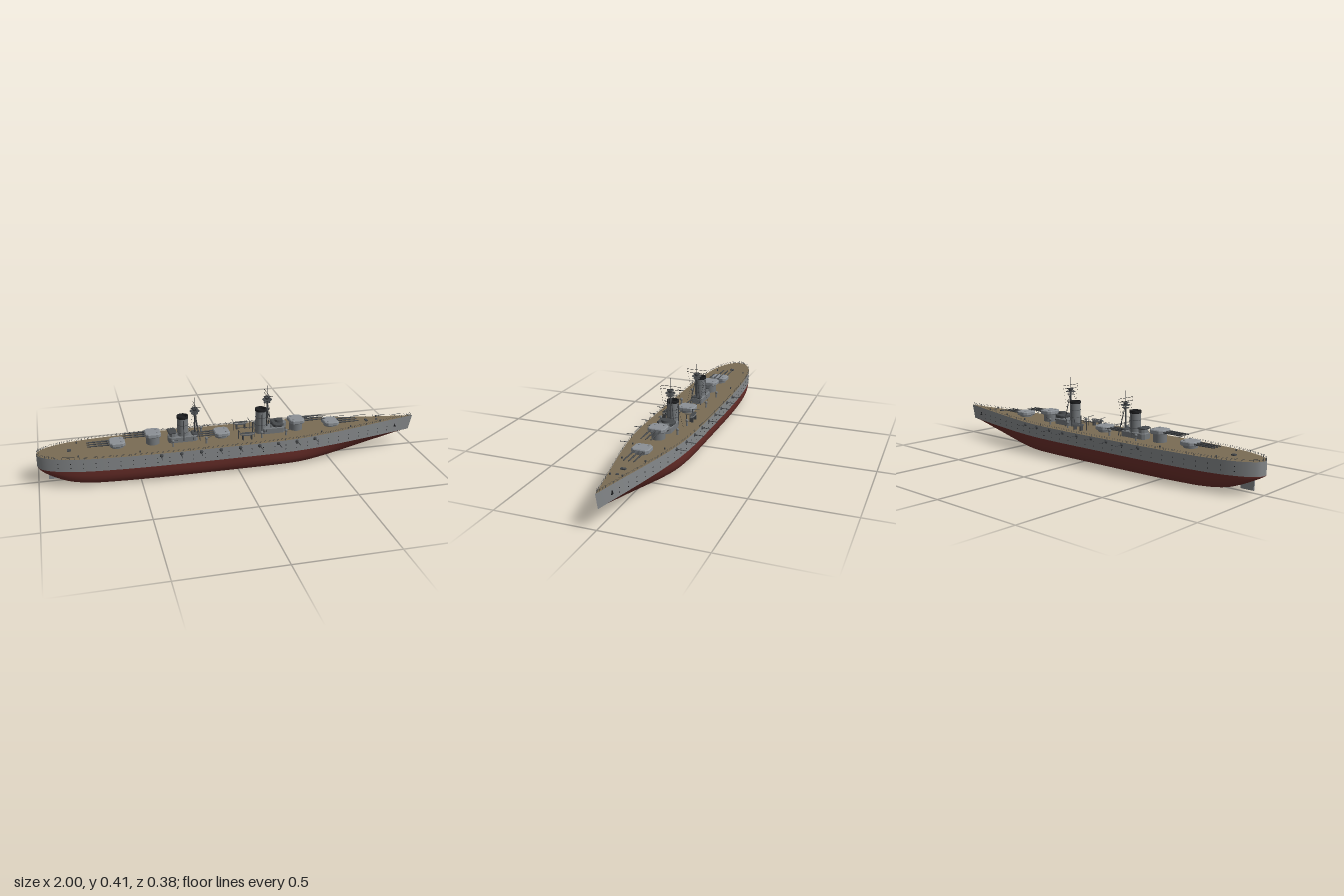
import * as THREE from 'three';
import { mergeGeometries, toCreasedNormals } from 'three/addons/utils/BufferGeometryUtils.js';

const V = (x, y, z) => new THREE.Vector3(x, y, z);
const paint = (name, color, side = THREE.FrontSide) => {
  const m = new THREE.MeshStandardMaterial({ color, side });
  m.name = name;
  return m;
};

// Hull lines: x, half beam, keel height
const lines = new THREE.CatmullRomCurve3([
  [-1, 0, .087], [-.99, .03, .08], [-.965, .055, .066], [-.92, .08, .045], [-.85, .103, .02],
  [-.75, .12, .005], [-.6, .132, .001], [-.4, .139, 0], [-.1, .14, 0], [.2, .137, 0], [.35, .127, .001],
  [.5, .104, .012], [.65, .074, .031], [.8, .041, .056], [.92, .016, .078], [1, 0, .09],
].map(p => V(...p)));
const WATER = .088;
const deckY = x => .154 + .012 * Math.max(0, (x + .1) / 1.1) ** 2;
const station = t => {
  const p = lines.getPoint(t);
  return { x: p.x, b: Math.max(0, p.y), k: Math.max(0, p.z) };
};
const beamAt = x => {
  let lo = 0, hi = 1;
  for (let i = 0; i < 30; i++) {
    const m = (lo + hi) / 2;
    if (lines.getPoint(m).x < x) lo = m; else hi = m;
  }
  return station(lo).b;
};

// Skin over cross-sections; section(t) gives a row of points
function loft(section, n) {
  const pos = [], idx = [];
  let w = 0;
  for (let i = 0; i <= n; i++) {
    const row = section(i / n);
    w = row.length;
    row.forEach(p => pos.push(p[0], p[1], p[2]));
  }
  for (let i = 0; i < n; i++) for (let j = 0; j < w - 1; j++) {
    const a = i * w + j, b = a + w;
    idx.push(a, b, a + 1, b, b + 1, a + 1);
  }
  const g = new THREE.BufferGeometry();
  g.setAttribute('position', new THREE.Float32BufferAttribute(pos, 3));
  g.setIndex(idx);
  g.computeVertexNormals();
  return g;
}

const box = (x, y, z, w, h, d) => new THREE.BoxGeometry(w, h, d).translate(x, y + h / 2, z);
const drum = (x, y, z, r, h, top = r, n = 20) => new THREE.CylinderGeometry(top, r, h, n).translate(x, y + h / 2, z);
function rod(a, b, r, r2 = r, n = 6) {
  const d = b.clone().sub(a), g = new THREE.CylinderGeometry(r2, r, d.length(), n);
  g.applyQuaternion(new THREE.Quaternion().setFromUnitVectors(V(0, 1, 0), d.clone().normalize()));
  return g.translate((a.x + b.x) / 2, (a.y + b.y) / 2, (a.z + b.z) / 2);
}
// Upright prism with cut corners and bevelled roof edge
function block(x, y, z, w, h, d, cut) {
  const a = w / 2, b = d / 2, s = new THREE.Shape();
  [[-a + cut, -b], [a - cut, -b], [a, -b + cut], [a, b - cut], [a - cut, b], [-a + cut, b], [-a, b - cut], [-a, -b + cut]]
    .forEach((p, i) => i ? s.lineTo(...p) : s.moveTo(...p));
  const e = .004;
  return new THREE.ExtrudeGeometry(s, { depth: h - 2 * e, bevelEnabled: true, bevelThickness: e, bevelSize: e, bevelOffset: -e, bevelSegments: 1 })
    .rotateX(-Math.PI / 2).translate(x, y + e, z);
}

export function createModel() {
  const ship = new THREE.Group();
  ship.name = 'battleship';
  const grey = paint('hullGrey', 0x85888a), red = paint('bottomRed', 0x6b2f2a), tan = paint('deckTan', 0x7a6c54);
  const light = paint('turretGrey', 0x8b9095), mid = paint('superstructureGrey', 0x74787b);
  const dark = paint('darkSteel', 0x46494c), black = paint('black', 0x1f2022);
  const add = (name, geos, mat, parent = ship) => {
    const list = [].concat(geos).map(g => g.index ? g.toNonIndexed() : g);
    const mesh = new THREE.Mesh(list.length > 1 ? mergeGeometries(list) : list[0], mat);
    mesh.name = name;
    parent.add(mesh);
    return mesh;
  };

  // Hull sides, bottom and deck
  const waterX = x => x - .02 * Math.max(0, (x - .8) / .2);
  const N = 90;
  [1, -1].forEach(s => add(s > 0 ? 'hullSideRight' : 'hullSideLeft', loft(t => {
    const { x, b } = station(t);
    const row = [[waterX(x), WATER, s * b], [x, deckY(x), s * b]];
    return s > 0 ? row : row.reverse();
  }, N), grey));
  const round = [[1, 1], [.985, .72], [.95, .48], [.89, .27], [.79, .12], [.57, .03], [0, 0]];
  add('hullBottom', loft(t => {
    const { x, b, k } = station(t);
    const v = THREE.MathUtils.smoothstep(x, .25, .95);
    const half = round.map(([f, g]) => [waterX(x), k + (WATER - k) * g, b * THREE.MathUtils.lerp(f, Math.min(1, .25 * f + .75 * g), v)]);
    return [...half.map(p => [p[0], p[1], -p[2]]), ...half.slice(0, -1).reverse()];
  }, N), red);
  add('deck', loft(t => {
    const { x, b } = station(t);
    return [[x, deckY(x), b], [x, deckY(x), -b]];
  }, N), tan);
  add('rudder', box(-.915, .012, 0, .068, .05, .008), grey);

  // Deck-edge railing
  const rails = [];
  for (const s of [1, -1]) {
    const edge = h => Array.from({ length: 61 }, (_, i) => {
      const { x, b } = station(.01 + .98 * i / 60);
      return V(x, deckY(x) + h, s * Math.max(0, b - .002));
    });
    for (const h of [.006, .011]) rails.push(new THREE.TubeGeometry(new THREE.CatmullRomCurve3(edge(h)), 120, .0004, 3));
    edge(0).forEach(p => rails.push(rod(p, p.clone().setY(p.y + .0115), .0006, .0006, 4)));
  }
  add('railings', rails, dark);

  // Portholes, casemate guns and anchors
  const ports = [], guns = [], mounts = [], anchors = [];
  for (const s of [1, -1]) {
    for (let x = -.9; x < .9; x += .06) for (const y of [.108, .13])
      ports.push(new THREE.CylinderGeometry(.0022, .0022, .004, 8).rotateX(Math.PI / 2).translate(x, y, s * beamAt(x)));
    for (let i = -4; i <= 4; i++) {
      const x = i * .1, b = beamAt(x);
      mounts.push(new THREE.SphereGeometry(.01, 10, 8).translate(x, .143, s * (b - .003)));
      guns.push(rod(V(x, .143, s * (b - .01)), V(x + .004 * Math.sign(i), .143, s * (b + .05)), .0024, .0016));
    }
    const ab = beamAt(.89);
    anchors.push(box(.89, .12, s * ab, .004, .016, .005), box(.89, .119, s * ab, .014, .004, .006));
  }
  add('portholes', ports, black);
  add('casemates', mounts, dark);
  add('casemateGuns', guns, dark);
  add('anchors', anchors, black);

  // Triple-gun turrets: x, base height, direction
  [[.525, .165, 1], [.333, .195, 1], [-.067, .165, -1], [-.423, .195, -1], [-.603, .165, -1]].forEach(([x, y, dir], i) => {
    const t = new THREE.Group();
    t.name = 'turret' + (i + 1);
    t.position.x = x;
    t.rotation.y = dir > 0 ? 0 : Math.PI;
    ship.add(t);
    add('barbette', drum(0, .15, 0, .034, y - .149, .034, 28), mid, t);
    add('gunhouse', [block(0, y, 0, .078, .022, .088, .014), drum(-.02, y + .021, .024, .006, .004), drum(-.02, y + .021, -.024, .006, .004)], light, t);
    add('barrels', [-.025, 0, .025].map(z => rod(V(.03, y + .012, z), V(.15, y + .012, z), .0045, .0026, 10)), dark, t);
  });

  // Funnels with dark caps and steam pipes
  for (const x of [-.268, .142]) {
    const f = new THREE.Group();
    f.name = 'funnel';
    ship.add(f);
    const wall = new THREE.LatheGeometry([[.029, .15], [.027, .276]].map(p => new THREE.Vector2(...p)), 28).translate(x, 0, 0);
    add('funnelCasing', wall, mid, f);
    const cap = [[.027, .274], [.0295, .276], [.0295, .288], [.025, .288], [.024, .272], [0, .272]];
    add('funnelCap', toCreasedNormals(new THREE.LatheGeometry(cap.map(p => new THREE.Vector2(...p)), 28).translate(x, 0, 0), .6), black, f);
    add('steamPipes', [1, -1].map(s => rod(V(x, .16, s * .03), V(x, .27, s * .029), .0025)), dark, f);
    add('funnelRings', [.2, .24].map(y => drum(x, y, 0, .0288, .002, .0288, 28)), dark, f);
  }

  // Forward bridge, conning tower and after deckhouse
  add('forwardDeckhouse', [block(.205, .15, 0, .125, .036, .07, .012), drum(.248, .15, 0, .03, .055)], mid);
  add('bridge', [block(.228, .19, 0, .058, .018, .086, .012), drum(.24, .206, 0, .022, .012, .02)], dark);
  add('bridgeWindows', [-.024, -.008, .008, .024].map(z => box(.257, .197, z, .003, .006, .009)), black);
  add('deckhouseWindows', [-.022, .022].map(z => new THREE.CylinderGeometry(.004, .004, .004, 10).rotateZ(Math.PI / 2).translate(.267, .174, z)), black);
  add('afterDeckhouse', [block(-.27, .15, 0, .15, .034, .062, .012), block(-.32, .18, 0, .036, .03, .05, .01)], mid);
  add('afterPlatform', [block(-.325, .203, 0, .044, .009, .064, .008), block(-.21, .18, 0, .03, .012, .05, .006)], dark);

  // Tripod masts with tops, yards and rigging: x, platform height, top
  [[-.205, .318, .38], [.175, .345, .41]].forEach(([x, py, top], i) => {
    const m = new THREE.Group();
    m.name = i ? 'foremast' : 'mainmast';
    ship.add(m);
    const legs = [rod(V(x, .15, 0), V(x, py, 0), .0045, .003, 8), rod(V(x, py, 0), V(x, top, 0), .0018, .0007)];
    for (const s of [1, -1]) legs.push(rod(V(x + .022, .15, s * .03), V(x, py - .015, s * .003), .0026, .002));
    add('tripod', legs, dark, m);
    add('fightingTop', [drum(x, py - .014, 0, .008, .016, .012), drum(x, py + .002, 0, .017, .002), drum(x, py - .012, 0, .025, .002), drum(x, py - .026, 0, .018, .002)], dark, m);
    const yards = [py + .024, py + .007];
    const lines = yards.map(y => rod(V(x, y, -.055), V(x, y, .055), .001));
    lines.push(rod(V(x - .025, py + .004, 0), V(x + .03, py + .004, 0), .001));
    for (const s of [1, -1]) {
      lines.push(rod(V(x, yards[0], s * .055), V(x, .2, s * .024), .0004, .0004, 4));
      lines.push(rod(V(x, py, s * .016), V(x - .02, .156, s * .06), .0004, .0004, 4));
    }
    add('yardsAndRigging', lines, black, m);
  });

  // Ship's boats on cradles with davits
  for (const s of [1, -1]) {
    const boat = new THREE.Group();
    boat.name = s > 0 ? 'rightBoat' : 'leftBoat';
    ship.add(boat);
    const half = new THREE.SphereGeometry(1, 18, 8, 0, Math.PI * 2, Math.PI / 2, Math.PI / 2).scale(.042, .016, .013).translate(.052, .189, s * .073);
    add('boatHull', half, light, boat);
    add('boatCover', new THREE.CircleGeometry(1, 18).rotateX(-Math.PI / 2).scale(.04, 1, .012).translate(.052, .1892, s * .073), dark, boat);
    add('cradle', [.03, .074].map(x => box(x, .153, s * .073, .006, .025, .02)), dark, boat);
    add('davits', [.01, .096].flatMap(x => [rod(V(x, .154, s * .055), V(x, .2, s * .055), .0018),
      rod(V(x, .2, s * .05), V(x, .203, s * .093), .0013)]), dark, boat);
  }
  add('boatBoom', [rod(V(.1, .154, 0), V(.1, .215, 0), .003), rod(V(.1, .187, 0), V(.005, .19, 0), .002)], dark);

  // Small deck fittings: light guns, vents, bollards and hatches
  const fittings = [], vents = [];
  for (const s of [1, -1]) {
    for (const x of [-.8, -.5, .45, .62, .8]) fittings.push(drum(x, deckY(x), s * beamAt(x) * .72, .004, .008, .004, 8));
    for (const x of [-.33, -.16, .13, .26]) {
      vents.push(drum(x, .153, s * .07, .005, .026, .004, 10), new THREE.SphereGeometry(.008, 10, 8).translate(x, .182, s * .07));
      fittings.push(rod(V(x, .185, s * .07), V(x + .025, .19, s * .076), .0013));
    }
  }
  fittings.push(box(.73, .158, 0, .014, .009, .024), drum(.79, .158, 0, .007, .008), box(-.84, .153, 0, .02, .007, .02));
  add('deckFittings', fittings, dark);
  add('ventilators', vents, mid);
  add('flagstaffs', [rod(V(-.985, .15, 0), V(-.992, .185, 0), .0008), rod(V(.975, .16, 0), V(.982, .185, 0), .0008)], dark);
  return ship;
}
